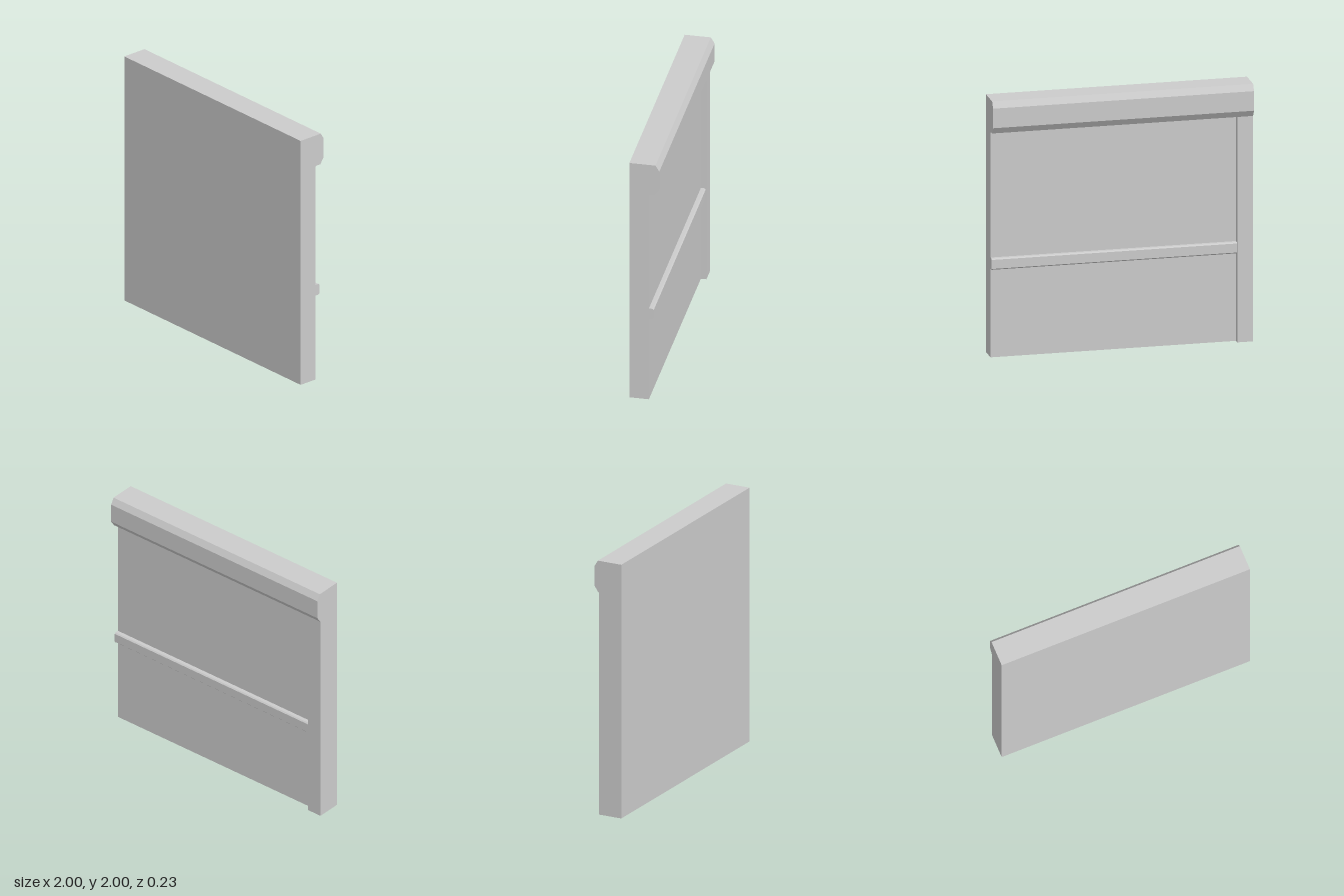
import * as THREE from 'three';

const FRONT = 0.114, PANEL_BACK = -0.0345, STILE_BACK = -0.077;
const STILE_WIDTH = 0.12, CAP_BOTTOM = 1.75;

const material = new THREE.MeshStandardMaterial({ color: 0xcccccc, flatShading: true });

function addMesh(group, name, geometry) {
  const mesh = new THREE.Mesh(geometry, material);
  mesh.name = name;
  group.add(mesh);
}

// Sweeps a [z, y] profile along x from x0 to x1.
function sweep(profile, x0, x1) {
  const shape = new THREE.Shape(profile.map(([z, y]) => new THREE.Vector2(-z, y)));
  return new THREE.ExtrudeGeometry(shape, { depth: x1 - x0, bevelEnabled: false })
    .rotateY(Math.PI / 2)
    .translate(x0, 0, 0);
}

export function createModel() {
  const group = new THREE.Group();
  group.name = 'wallPanel';

  // Flat panel with a thick chamfered cap rail overhanging the back
  addMesh(group, 'panelWithCapRail', sweep([
    [FRONT, 0], [PANEL_BACK, 0],
    [PANEL_BACK, CAP_BOTTOM - 0.006], [PANEL_BACK - 0.006, CAP_BOTTOM],
    [-0.08, CAP_BOTTOM], [-0.114, 1.8], [-0.114, 1.952], [-0.085, 2], [FRONT, 2],
  ], -1, 1));

  // Thin horizontal batten with chamfered edges, ending at the stile
  const low = 0.687, high = 0.775, out = -0.0715, c = 0.009;
  addMesh(group, 'batten', sweep([
    [PANEL_BACK + 0.01, low], [out + c, low], [out, low + c],
    [out, high - c], [out + c, high], [PANEL_BACK + 0.01, high],
  ], -1 + STILE_WIDTH, 1));

  // Single upright stile along one edge of the back
  const depth = PANEL_BACK - STILE_BACK;
  addMesh(group, 'stile', new THREE.BoxGeometry(STILE_WIDTH, CAP_BOTTOM, depth)
    .translate(-1 + STILE_WIDTH / 2, CAP_BOTTOM / 2, STILE_BACK + depth / 2));

  return group;
}
